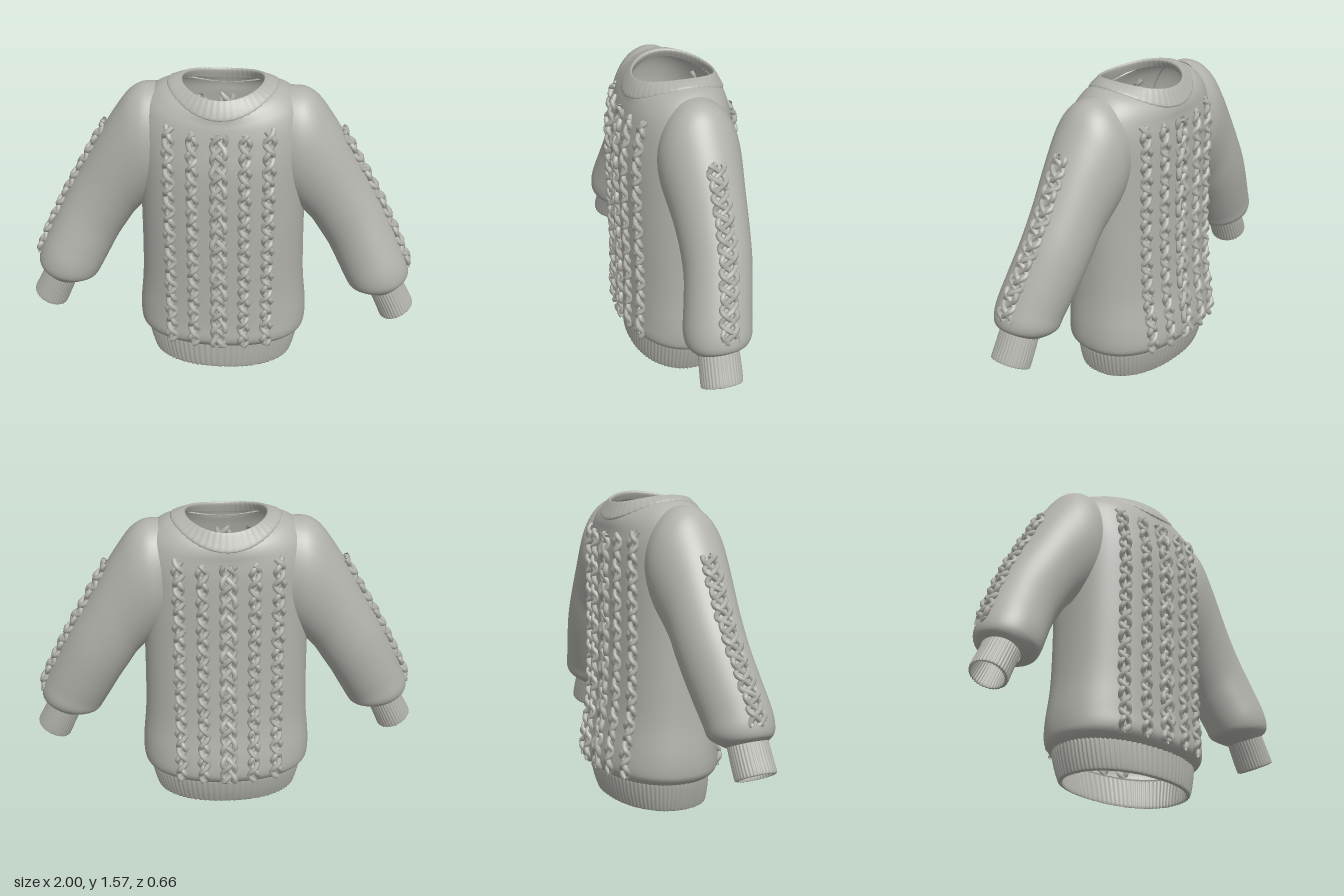
import * as THREE from 'three';

const wool = new THREE.MeshStandardMaterial({ color: 0xb2b2ac, side: THREE.DoubleSide });
wool.name = 'grey wool';

// Smooth interpolation through rows of numbers at parameter u (0 .. rows - 1)
function sampleRows(rows, u) {
  const i = Math.min(Math.max(Math.floor(u), 0), rows.length - 2), f = u - i;
  const at = k => rows[Math.min(Math.max(k, 0), rows.length - 1)];
  return rows[i].map((_, c) => {
    const [a, b, d, e] = [at(i - 1)[c], at(i)[c], at(i + 1)[c], at(i + 2)[c]];
    return b + 0.5 * f * (d - a + f * (2 * a - 5 * b + 4 * d - e + f * (3 * (b - d) + e - a)));
  });
}

// Closed-loop skin: point(u, angle) for each u in the list
function loft(name, us, segs, point, flip = false) {
  const pos = [], idx = [];
  us.forEach((u, i) => {
    for (let j = 0; j < segs; j++) {
      pos.push(...point(u, (j / segs) * Math.PI * 2));
      if (i === us.length - 1) continue;
      const k = (j + 1) % segs, a = i * segs + j, b = a + segs, c = i * segs + k, d = c + segs;
      idx.push(...(flip ? [a, c, b, b, c, d] : [a, b, c, b, d, c]));
    }
  });
  const geo = new THREE.BufferGeometry();
  geo.setAttribute('position', new THREE.Float32BufferAttribute(pos, 3));
  geo.setIndex(idx);
  geo.computeVertexNormals();
  const mesh = new THREE.Mesh(geo, wool);
  mesh.name = name;
  return mesh;
}
const range = (from, to, n) => Array.from({ length: n + 1 }, (_, i) => from + ((to - from) * i) / n);
const spow = (v, p) => Math.sign(v) * Math.abs(v) ** p;

// Body rings: y at front, y at side, half width, front z, back z, squareness
const BODY = [
  [0.14, 0.14, 0.392, 0.25, -0.265, 2.2], [0.17, 0.17, 0.425, 0.28, -0.29, 2.3],
  [0.21, 0.21, 0.437, 0.295, -0.303, 2.3], [0.30, 0.30, 0.437, 0.29, -0.295, 2.3],
  [0.50, 0.50, 0.42, 0.29, -0.265, 2.3], [0.85, 0.85, 0.415, 0.297, -0.25, 2.4],
  [1.15, 1.15, 0.42, 0.297, -0.25, 2.4], [1.30, 1.33, 0.42, 0.275, -0.247, 2.4],
  [1.38, 1.45, 0.39, 0.258, -0.24, 2.3], [1.42, 1.52, 0.32, 0.247, -0.238, 2.2],
  [1.46, 1.545, 0.25, 0.238, -0.228, 2], [1.515, 1.555, 0.205, 0.205, -0.2, 2],
];
function ringPoint([yf, ys, a, zf, zb, n], t, grow = 1) {
  const c = Math.cos(t), s = Math.sin(t);
  return [a * grow * spow(c, 2 / n), yf + (ys - yf) * c * c,
    (s > 0 ? zf : -zb) * grow * spow(s, 2 / n)];
}
const bodyPoint = (u, t) => ringPoint(sampleRows(BODY, u), t);

// Ribbed waistband and neckband, each folded over to an inner wall
const HEM = [
  [0.165, 0.165, 0.395, 0.252, -0.268, 2.2], [0.14, 0.14, 0.398, 0.254, -0.272, 2.2],
  [0.07, 0.07, 0.385, 0.254, -0.258, 2.2], [0.01, 0.01, 0.368, 0.25, -0.238, 2.2],
  [0, 0, 0.36, 0.242, -0.23, 2.2], [0.01, 0.01, 0.348, 0.232, -0.22, 2.2],
  [0.15, 0.15, 0.375, 0.235, -0.25, 2.2],
];
const COLLAR = [
  [1.435, 1.53, 0.272, 0.242, -0.233, 2], [1.443, 1.547, 0.268, 0.25, -0.243, 2],
  [1.48, 1.558, 0.238, 0.234, -0.226, 2], [1.518, 1.562, 0.212, 0.21, -0.206, 2],
  [1.523, 1.562, 0.203, 0.202, -0.199, 2], [1.51, 1.55, 0.198, 0.198, -0.194, 2],
  [1.47, 1.52, 0.212, 0.208, -0.203, 2],
];
const ribbed = (rows, count, depth) => (u, t) =>
  ringPoint(sampleRows(rows, u), t, 1 + depth * Math.cos(count * t));

// Sleeve sections: outer x, y, inner x, y, centre z, half depth
const SLEEVE = [
  [0.33, 1.52, 0.30, 0.97, 0, 0.19], [0.40, 1.515, 0.34, 0.93, 0, 0.2],
  [0.465, 1.475, 0.38, 0.89, 0, 0.197], [0.53, 1.39, 0.42, 0.85, 0, 0.188],
  [0.605, 1.27, 0.455, 0.81, 0, 0.178], [0.70, 1.10, 0.50, 0.74, 0, 0.17],
  [0.79, 0.94, 0.55, 0.66, 0.008, 0.165], [0.87, 0.78, 0.60, 0.565, 0.03, 0.165],
  [0.93, 0.65, 0.64, 0.49, 0.05, 0.165], [0.96, 0.57, 0.665, 0.45, 0.055, 0.16],
  [0.962, 0.52, 0.70, 0.435, 0.06, 0.14], [0.935, 0.49, 0.765, 0.415, 0.067, 0.102],
];
const CUFF = [
  [0.915, 0.515, 0.765, 0.43, 0.067, 0.096], [0.93, 0.49, 0.777, 0.405, 0.068, 0.098],
  [0.965, 0.42, 0.807, 0.34, 0.07, 0.1], [0.996, 0.36, 0.833, 0.28, 0.073, 0.1],
  [0.993, 0.352, 0.841, 0.275, 0.073, 0.095], [0.984, 0.36, 0.847, 0.287, 0.073, 0.086],
  [0.91, 0.48, 0.79, 0.42, 0.068, 0.08],
];
const armPoint = (rows, side, ribs = 0) => (u, t) => {
  const [ox, oy, ix, iy, zc, zh] = sampleRows(rows, u);
  const g = 1 + (ribs ? 0.022 * Math.cos(ribs * t) : 0), c = (Math.cos(t) * g) / 2;
  return [side * ((ox + ix) / 2 + (ox - ix) * c), (oy + iy) / 2 + (oy - iy) * c, zc + zh * g * Math.sin(t)];
};

// Cable stitch: strands weaving across a strip; place(u, across, lift) puts a point on the knit
function cable(name, u0, u1, place, width, pitch, strands, radius) {
  const group = new THREE.Group();
  group.name = name;
  const base = range(u0, u1, 130).map(u => [u, new THREE.Vector3(...place(u, 0, 0))]);
  for (let s = 0; s < strands; s++) {
    let run = 0;
    const pts = base.map(([u, p], i) => {
      if (i) run += p.distanceTo(base[i - 1][1]);
      const a = (run / pitch) * Math.PI + (s * 2 * Math.PI) / strands;
      return new THREE.Vector3(...place(u, width * Math.sin(a), 0.006 + 0.008 * Math.cos(2 * a + s * Math.PI / 2)));
    });
    const geo = new THREE.TubeGeometry(new THREE.CatmullRomCurve3(pts), 170, radius, 6);
    const mesh = new THREE.Mesh(geo, wool);
    mesh.name = 'cableStrand';
    group.add(mesh);
  }
  return group;
}

export function createModel() {
  const sweater = new THREE.Group();
  sweater.name = 'cableKnitSweater';

  sweater.add(loft('body', range(0, 11, 66), 112, bodyPoint));
  sweater.add(loft('waistband', range(0, 6, 24), 336, ribbed(HEM, 84, 0.009), true));
  sweater.add(loft('neckband', range(0, 6, 24), 192, ribbed(COLLAR, 48, 0.004)));

  // Five cables on the front and five on the back, the middle one wider
  for (const face of [1, -1]) {
    for (const x of [-0.245, -0.128, 0, 0.125, 0.238]) {
      const place = (u, across, lift) => {
        const row = sampleRows(BODY, u), k = (x + across) / row[2];
        const t = face * Math.acos(spow(k, row[5] / 2));
        const p = ringPoint(row, t);
        return [p[0] + lift * k, p[1], p[2] + face * lift];
      };
      const mid = x === 0;
      sweater.add(cable(face > 0 ? 'frontCable' : 'backCable', 1.1, 7.85, place,
        mid ? 0.032 : 0.02, mid ? 0.1 : 0.075, mid ? 3 : 2, mid ? 0.015 : 0.0145));
    }
  }

  // Sleeves with ribbed cuffs and a cable down the outside
  for (const side of [1, -1]) {
    const arm = new THREE.Group();
    arm.name = side > 0 ? 'leftSleeve' : 'rightSleeve';
    const skin = armPoint(SLEEVE, side);
    arm.add(loft('sleeve', range(0, 11, 66), 64, skin, side > 0));
    arm.add(loft('cuff', range(0, 6, 24), 144, armPoint(CUFF, side, 36), side > 0));
    const place = (u, across, lift) => {
      const p = skin(u, Math.asin(across / sampleRows(SLEEVE, u)[5]));
      return [p[0] + side * lift * 0.87, p[1] + lift * 0.5, p[2]];
    };
    arm.add(cable('sleeveCable', 3.8, 9, place, 0.036, 0.085, 3, 0.014));
    sweater.add(arm);
  }
  return sweater;
}
